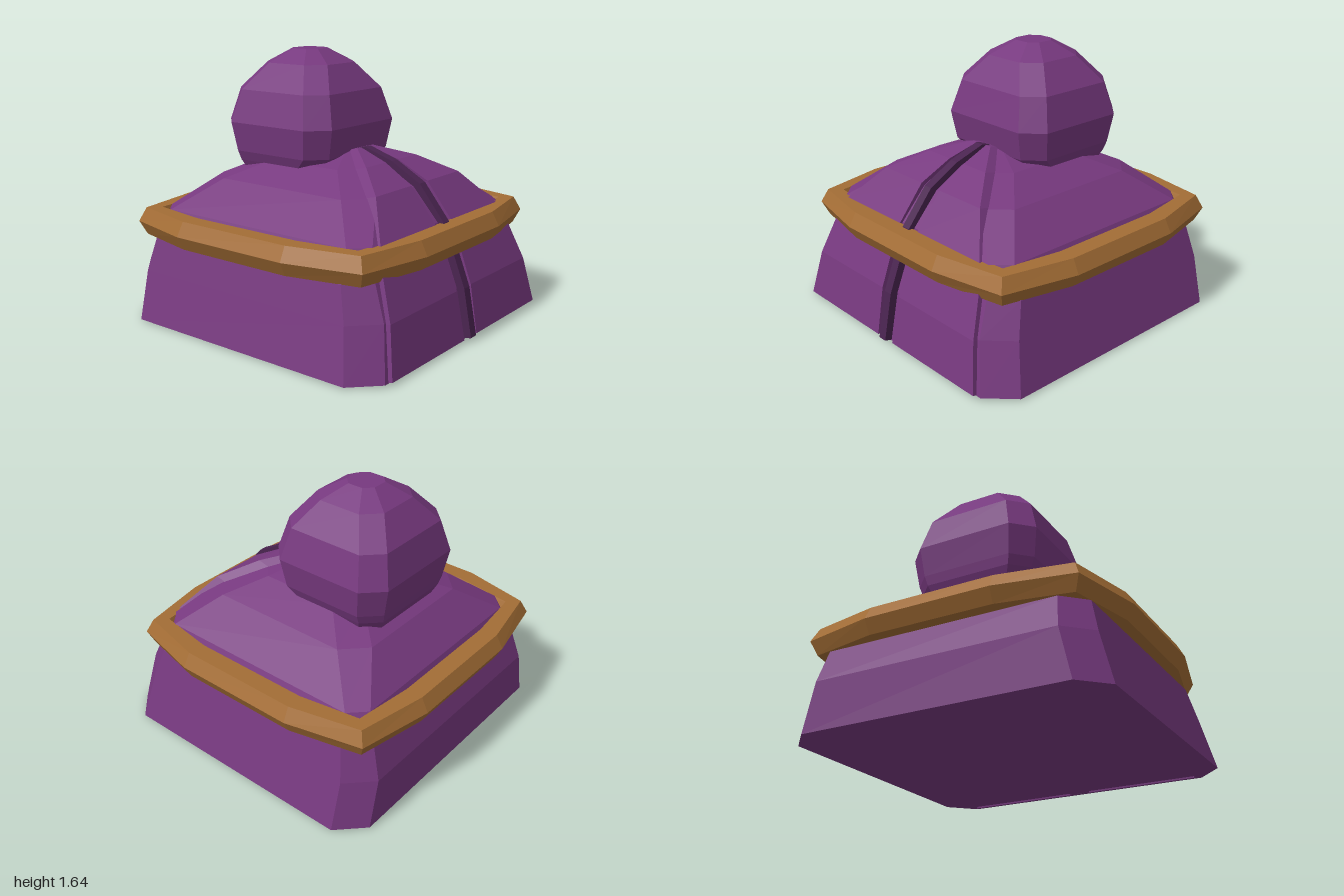
import * as THREE from 'three';

const flat = (color, name) => {
  const m = new THREE.MeshStandardMaterial({ color, flatShading: true });
  m.name = name;
  return m;
};

// Skin a stack of rings (each running from +x towards +z), with optional end caps
function loft(rings, capped = true) {
  const n = rings[0].length, out = [];
  for (let r = 0; r < rings.length - 1; r++) {
    const lo = rings[r], hi = rings[r + 1];
    for (let i = 0; i < n; i++) {
      const j = (i + 1) % n;
      out.push(...lo[i], ...hi[i], ...lo[j], ...lo[j], ...hi[i], ...hi[j]);
    }
  }
  if (capped) {
    const a = rings[0], b = rings[rings.length - 1];
    for (let i = 1; i < n - 1; i++) {
      out.push(...a[0], ...a[i], ...a[i + 1], ...b[0], ...b[i + 1], ...b[i]);
    }
  }
  const g = new THREE.BufferGeometry();
  g.setAttribute('position', new THREE.Float32BufferAttribute(out, 3));
  g.computeVertexNormals();
  return g;
}

// Rectangle with cut corners: height, half width, front z, back z, corner cut
const cutRect = ([y, w, f, b, c]) => [
  [w, y, b + c], [w, y, f - c], [w - c, y, f], [-w + c, y, f],
  [-w, y, f - c], [-w, y, b + c], [-w + c, y, b], [w - c, y, b],
];

// One level of the band; inset shrinks sides by s and corners by c
function bandRing([y, s, c]) {
  const q = [[0.975 - s, 0.4 - s * 0.1], [0.865 - c, 0.865 - c], [0.4 - s * 0.1, 0.96 - s]];
  const pts = [];
  for (const [sx, sz] of [[1, 1], [-1, 1], [-1, -1], [1, -1]]) {
    const corner = q.map(([x, z]) => [sx * x, y, sz * z - 0.04]);
    pts.push(...(sx * sz > 0 ? corner : corner.reverse()));
  }
  return pts;
}

// Curved strip of cloth; rows hold y, front z, left x, right x
const strip = (rows) => loft(rows.map(([y, z, l, r]) => [
  [l, y - 0.02, z - 0.08], [l, y, z], [r, y, z], [r, y - 0.02, z - 0.08],
]));

export function createModel() {
  const model = new THREE.Group();
  model.name = 'hoodedCloak';
  const purple = flat(0x77397f, 'purple cloth');
  const dark = flat(0x4a2450, 'dark purple trim');
  const gold = flat(0xa36d35, 'ochre band');
  const add = (name, geo, mat) => {
    const mesh = new THREE.Mesh(geo, mat);
    mesh.name = name;
    model.add(mesh);
  };

  // Cloak body with sloping shoulders
  add('cloakBody', loft([
    [0.02, 0.985, 0.95, -0.94, 0.155],
    [0.32, 0.91, 0.89, -0.94, 0.15],
    [0.52, 0.86, 0.81, -0.88, 0.13],
    [0.69, 0.775, 0.75, -0.81, 0.1],
    [0.88, 0.55, 0.58, -0.61, 0.14],
    [0.99, 0.34, 0.38, -0.39, 0.13],
    [1.065, 0.08, 0.17, -0.12, 0.05],
  ].map(cutRect)), purple);

  // Faceted hood
  add('hood', loft([
    [0.86, 0.32, 0.0, -0.53, 0.09],
    [0.97, 0.375, 0.08, -0.585, 0.1],
    [1.03, 0.4, 0.15, -0.6, 0.11],
    [1.21, 0.427, 0.185, -0.635, 0.12],
    [1.41, 0.37, 0.13, -0.585, 0.11],
    [1.57, 0.235, 0.015, -0.465, 0.1],
    [1.655, 0.1, -0.13, -0.33, 0.05],
  ].map(cutRect)), purple);

  // Six-sided band around the shoulders
  add('shoulderBand', loft([
    [0.605, 0.2, 0.14], [0.52, 0.155, 0.105], [0.52, 0.045, 0.035],
    [0.605, 0, 0], [0.69, 0.045, 0.035], [0.69, 0.155, 0.105], [0.605, 0.2, 0.14],
  ].map(bandRing), false), gold);

  // Front panels: y, front z, inner x, outer x
  const panel = [
    [0.03, 0.975, 0.07, 0.8], [0.32, 0.92, 0.08, 0.745], [0.55, 0.83, 0.085, 0.69],
    [0.69, 0.77, 0.085, 0.63], [0.9, 0.6, 0.085, 0.44], [1.01, 0.4, 0.065, 0.26],
    [1.075, 0.2, 0.04, 0.08],
  ];
  add('leftFrontPanel', strip(panel.map(([y, z, i, o]) => [y, z, o, i])), purple);
  add('rightFrontPanel', strip(panel.map(([y, z, i, o]) => [y, z, -i, -o])), purple);

  // Centre fastening strip
  add('centreStrip', strip(panel.map(([y, z]) => [y + 0.005, z + 0.02, 0.029, -0.029])), dark);

  return model;
}
